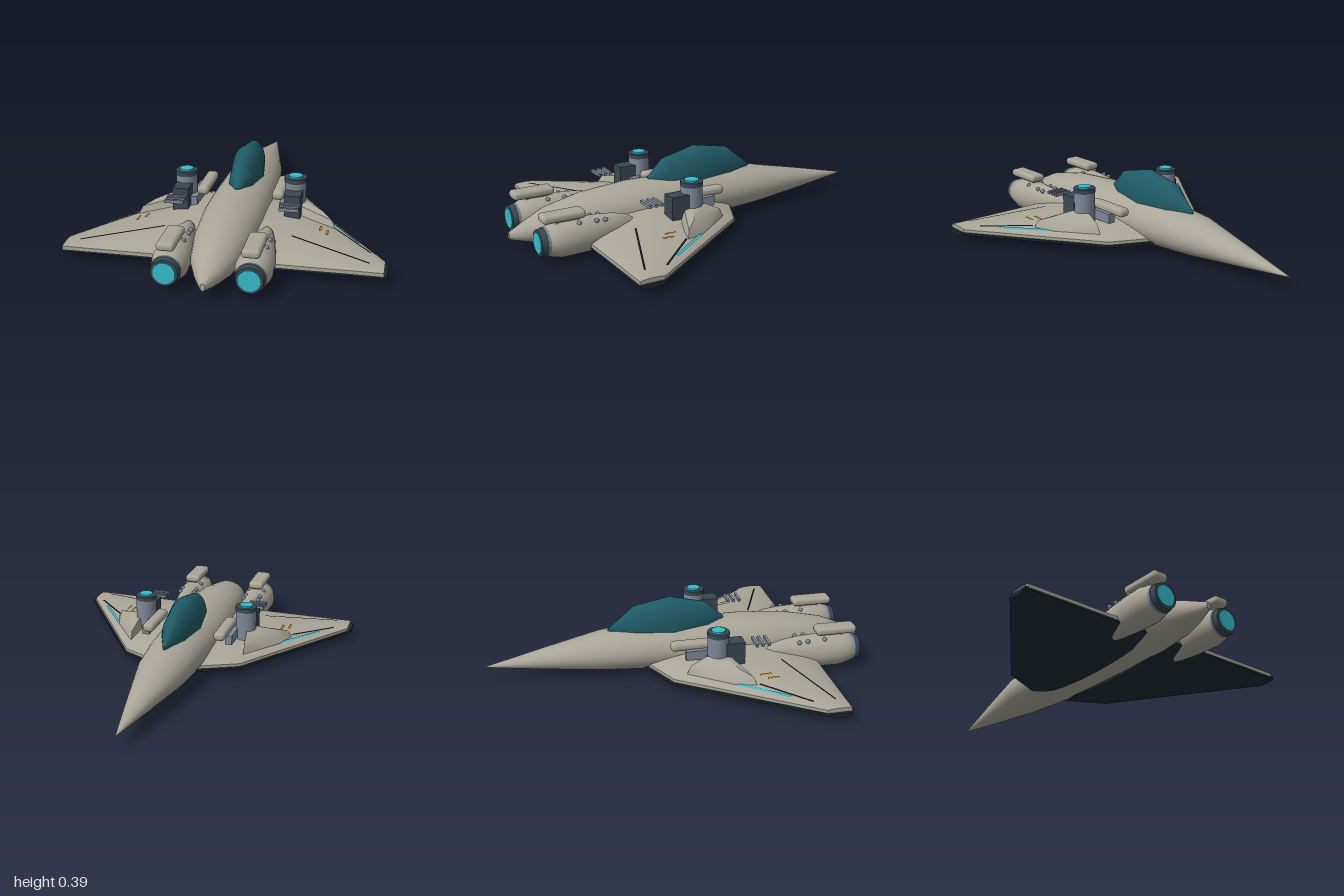
import * as THREE from 'three';
import { toCreasedNormals } from 'three/addons/utils/BufferGeometryUtils.js';
import { RoundedBoxGeometry } from 'three/addons/geometries/RoundedBoxGeometry.js';
import { ConvexGeometry } from 'three/addons/geometries/ConvexGeometry.js';

const V = (x, y, z) => new THREE.Vector3(x, y, z);
const lerp = THREE.MathUtils.lerp;

// Skin a row of closed rings and cap both ends
function loft(rings, crease = 0.7) {
  const n = rings[0].length, pos = [], idx = [];
  rings.forEach(r => r.forEach(p => pos.push(p.x, p.y, p.z)));
  for (let i = 0; i < rings.length - 1; i++) for (let j = 0; j < n; j++) {
    const k = (j + 1) % n, a = i * n + j, b = i * n + k;
    idx.push(a, b, b + n, a, b + n, a + n);
  }
  [0, rings.length - 1].forEach((i, end) => {
    const c = rings[i].reduce((s, p) => s.add(p), V(0, 0, 0)).divideScalar(n);
    const ci = pos.length / 3;
    pos.push(c.x, c.y, c.z);
    for (let j = 0; j < n; j++) {
      const a = i * n + j, b = i * n + (j + 1) % n;
      if (end) idx.push(ci, a, b); else idx.push(ci, b, a);
    }
  });
  const g = new THREE.BufferGeometry();
  g.setAttribute('position', new THREE.Float32BufferAttribute(pos, 3));
  g.setIndex(idx);
  return toCreasedNormals(g, crease);
}

// Body of ellipses along z; each station is [z, centreY, radiusX, radiusY]
function ellipseBody(stations, cx = 0, n = 32, crease = 0.7) {
  return loft(stations.map(([z, cy, rx, ry]) => Array.from({ length: n }, (_, j) => {
    const a = j / n * Math.PI * 2;
    return V(cx + Math.cos(a) * rx, cy + Math.sin(a) * ry, z);
  })), crease);
}

function mirrorX(geo) {
  const g = geo.index ? geo.toNonIndexed() : geo.clone();
  g.scale(-1, 1, 1);
  const idx = [];
  for (let i = 0; i < g.attributes.position.count; i += 3) idx.push(i, i + 2, i + 1);
  g.setIndex(idx);
  return g;
}

// Wing planform and surface heights
const TRAIL = 0.69;
const lead = x => x < 0.31 ? lerp(-0.24, -0.09, x / 0.31) : lerp(-0.09, 0.575, (x - 0.31) / 0.465);
const bulge = t => Math.pow(Math.max(0, Math.sin(Math.PI * THREE.MathUtils.clamp(t, 0, 1))), 0.7);
const topRise = x => lerp(0.095, 0.004, x / 0.775);
const wingTop = (x, z) => {
  const l = lead(x) + 0.014;
  return 0.077 + topRise(x) * bulge((z - l) / (TRAIL - l));
};

function wingShell(tip, inset, top, bottom) {
  const N = 16;
  return loft([0.06, 0.14, 0.22, 0.31, 0.42, 0.54, 0.66, tip].map(x => {
    const ring = [], l = lead(x) + inset;
    for (let i = 0; i <= N; i++) ring.push(V(x, top(x, i / N), lerp(l, TRAIL, i / N)));
    for (let i = N; i >= 0; i--) ring.push(V(x, bottom(x, i / N), lerp(l, TRAIL, i / N)));
    return ring;
  }), 0.6);
}

// Narrow painted ribbon that follows the wing
function stripe([x0, z0], [x1, z1], w) {
  const g = new THREE.PlaneGeometry(1, 1, 1, 16), p = g.attributes.position;
  const len = Math.hypot(x1 - x0, z1 - z0), nx = (z1 - z0) / len, nz = -(x1 - x0) / len;
  for (let i = 0; i < p.count; i++) {
    const s = p.getX(i) * w, t = p.getY(i) + 0.5;
    const x = lerp(x0, x1, t) + nx * s, z = lerp(z0, z1, t) + nz * s;
    p.setXYZ(i, x, wingTop(x, z) + 0.005, z);
  }
  g.computeVertexNormals();
  return g;
}

const box = (x0, x1, y0, y1, z0, z1, r = 0) => {
  const s = [x1 - x0, y1 - y0, z1 - z0];
  const g = r ? new RoundedBoxGeometry(...s, 3, r) : new THREE.BoxGeometry(...s);
  return g.translate((x0 + x1) / 2, (y0 + y1) / 2, (z0 + z1) / 2);
};
const post = (r, y0, y1, x, z) =>
  new THREE.CylinderGeometry(r, r, y1 - y0, 28).translate(x, (y0 + y1) / 2, z);
const drum = (r0, r1, z0, z1, x, y) =>
  new THREE.CylinderGeometry(r1, r0, z1 - z0, 28).rotateX(Math.PI / 2).translate(x, y, (z0 + z1) / 2);

export function createModel() {
  const group = new THREE.Group();
  const mat = (name, color, side = THREE.FrontSide) => {
    const m = new THREE.MeshStandardMaterial({ color, side });
    m.name = name;
    return m;
  };
  const hull = mat('hull grey', 0xa9a598);
  const glass = mat('canopy teal', 0x1f5a66);
  const glow = mat('glow cyan', 0x35bccb, THREE.DoubleSide);
  const dark = mat('dark underside', 0x1d2a31);
  const gunmetal = mat('gunmetal', 0x3a4852);
  const steel = mat('steel', 0x7d8896);
  const amber = mat('amber', 0xb57a22, THREE.DoubleSide);
  const line = mat('panel line', 0x14191d, THREE.DoubleSide);

  const add = (name, geo, m) => {
    const mesh = new THREE.Mesh(geo, m);
    mesh.name = name;
    group.add(mesh);
  };
  const pair = (name, geo, m) => {
    add(name + 'Left', geo, m);
    add(name + 'Right', mirrorX(geo), m);
  };

  // Fuselage and canopy
  add('fuselage', ellipseBody([
    [-1, 0.087, 0.001, 0.001], [-0.7, 0.106, 0.064, 0.052], [-0.4, 0.125, 0.124, 0.1],
    [-0.2, 0.128, 0.141, 0.115], [0.1, 0.13, 0.153, 0.122], [0.35, 0.131, 0.154, 0.124],
    [0.6, 0.125, 0.138, 0.112], [0.8, 0.11, 0.104, 0.086], [0.9, 0.098, 0.064, 0.055],
    [0.98, 0.09, 0.024, 0.026], [1, 0.09, 0.011, 0.018]]), hull);
  add('canopy', ellipseBody([
    [-0.36, 0.235, 0.004, 0.004], [-0.22, 0.24, 0.06, 0.115], [-0.03, 0.24, 0.086, 0.15],
    [0.16, 0.24, 0.06, 0.105], [0.25, 0.245, 0.012, 0.015]], 0, 28, 0.45), glass);

  // Wings: pale upper skin over a dark lower skin
  pair('wingUpper', wingShell(0.76, 0.014,
    (x, t) => 0.077 + topRise(x) * bulge(t), () => 0.06), hull);
  pair('wingLower', wingShell(0.775, 0, () => 0.061,
    (x, t) => 0.05 - lerp(0.05, 0.01, x / 0.775) * bulge(t)), dark);

  // Wing markings
  pair('panelLineOuter', stripe([0.5, 0.31], [0.69, 0.52], 0.009), line);
  pair('panelLineRear', stripe([0.31, 0.48], [0.69, 0.63], 0.009), line);
  pair('glowStripe', stripe([0.46, 0.2], [0.625, 0.43], 0.013), glow);
  pair('amberMarkInner', stripe([0.435, 0.33], [0.435, 0.39], 0.012), amber);
  pair('amberMarkOuter', stripe([0.47, 0.36], [0.47, 0.42], 0.012), amber);

  // Fairing beside each turret
  const fairing = [
    [0.31, 0.1, -0.01], [0.46, 0.1, 0.19], [0.5, 0.1, 0.3], [0.4, 0.1, 0.28], [0.26, 0.1, 0.22],
    [0.31, 0.145, 0.01], [0.3, 0.182, 0.09], [0.28, 0.182, 0.2], [0.38, 0.178, 0.2],
    [0.43, 0.162, 0.23], [0.48, 0.14, 0.285]];
  pair('turretFairing', toCreasedNormals(
    new ConvexGeometry(fairing.map(p => V(...p))), 0.6), hull);

  // Turrets
  pair('turretBody', post(0.054, 0.13, 0.285, 0.28, 0.155), steel);
  pair('turretCollar', post(0.056, 0.283, 0.306, 0.28, 0.155), gunmetal);
  pair('turretLamp', post(0.035, 0.3, 0.315, 0.28, 0.155), glow);
  pair('turretMount', box(0.243, 0.322, 0.13, 0.25, 0.19, 0.285), gunmetal);
  pair('sideRail', box(0.21, 0.246, 0.14, 0.19, 0, 0.23), steel);
  pair('shoulderPod', box(0.163, 0.224, 0.18, 0.226, -0.07, 0.185, 0.02), hull);
  [0.345, 0.375, 0.408].forEach((z, i) =>
    pair('louvre' + (i + 1), box(0.235, 0.33, 0.222, 0.238, z - 0.007, z + 0.007), steel));

  // Engines
  const ex = 0.192, ey = 0.105;
  pair('engineNacelle', ellipseBody([
    [0.42, 0.11, 0.008, 0.02], [0.47, 0.11, 0.032, 0.055], [0.54, 0.108, 0.052, 0.074],
    [0.62, ey, 0.066, 0.085], [0.72, ey, 0.083, 0.088], [0.82, ey, 0.088, 0.089],
    [0.87, ey, 0.076, 0.077], [0.89, ey, 0.068, 0.068]], ex), hull);
  pair('engineCollar', drum(0.07, 0.07, 0.875, 0.9, ex, ey), steel);
  pair('engineNozzle', drum(0.067, 0.063, 0.9, 0.928, ex, ey), gunmetal);
  pair('engineGlow', drum(0.051, 0.051, 0.92, 0.932, ex, ey), glow);
  pair('enginePlate', box(0.15, 0.235, 0.198, 0.24, 0.695, 0.91, 0.018), hull);
  pair('enginePylon', box(0.175, 0.21, 0.16, 0.205, 0.72, 0.84), hull);
  [0.6, 0.645, 0.735].forEach((z, i) => [-0.042, 0.042].forEach((dx, k) =>
    pair('engineRivet' + (i * 2 + k + 1),
      new THREE.SphereGeometry(0.012, 10, 8).translate(ex + dx, 0.174 + i * 0.003, z), steel)));

  return group;
}
